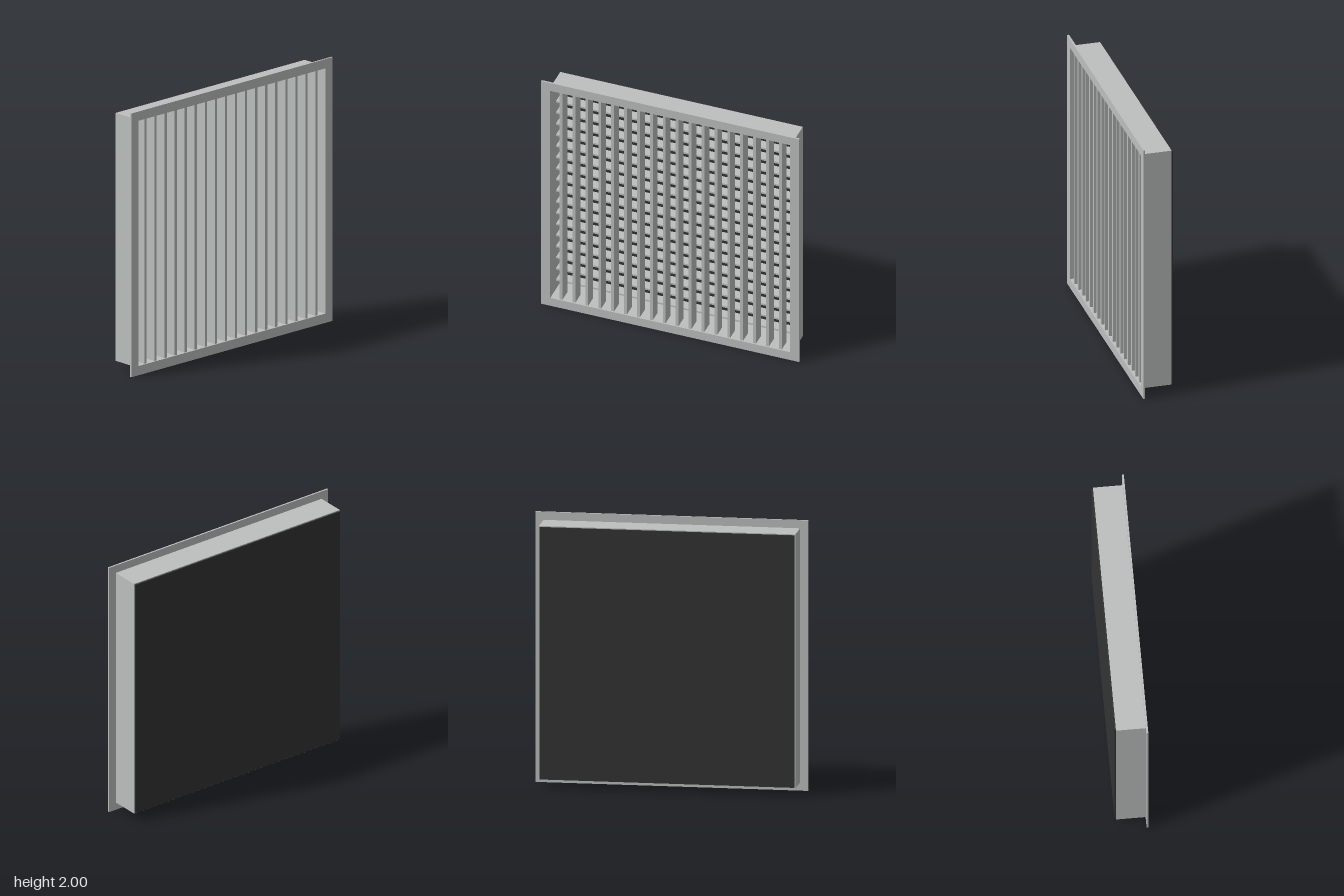
import * as THREE from 'three';

export function createModel() {
  const model = new THREE.Group();
  model.name = 'ventGrille';

  const metal = new THREE.MeshStandardMaterial({ color: 0xbcc0be });
  metal.name = 'light grey metal';
  const dark = new THREE.MeshStandardMaterial({ color: 0x333333 });
  dark.name = 'dark backing';

  const add = (name, geometry, material, x, y, z, parent = model) => {
    const mesh = new THREE.Mesh(geometry, material);
    mesh.name = name;
    mesh.position.set(x, y, z);
    parent.add(mesh);
    return mesh;
  };

  // Square ring, extruded along z
  const ring = (outer, inner, depth) => {
    const square = (Type, h) => new Type([
      new THREE.Vector2(-h, -h), new THREE.Vector2(h, -h),
      new THREE.Vector2(h, h), new THREE.Vector2(-h, h),
    ]);
    const shape = square(THREE.Shape, outer);
    shape.holes.push(square(THREE.Path, inner));
    return new THREE.ExtrudeGeometry(shape, { depth, bevelEnabled: false });
  };

  // Front flange and the duct collar behind it
  add('frontFlange', ring(1, 0.93, 0.013), metal, 0, 1, 0.107);
  add('ductCollar', ring(0.94, 0.93, 0.217), metal, 0, 1, -0.11);

  // Dark plate closing the back
  add('backPlate', new THREE.BoxGeometry(1.866, 1.866, 0.01), dark, 0, 1, -0.115);

  // Upright blades in front, level blades behind them
  const uprights = new THREE.Group();
  uprights.name = 'verticalBlades';
  const levels = new THREE.Group();
  levels.name = 'horizontalBlades';
  model.add(uprights, levels);
  const uprightGeometry = new THREE.BoxGeometry(0.022, 1.86, 0.1);
  const levelGeometry = new THREE.BoxGeometry(1.86, 0.014, 0.08);
  for (let i = 0; i < 18; i++) {
    const offset = -0.85 + i * 0.1;
    add('verticalBlade', uprightGeometry, metal, offset, 1, 0.06, uprights);
    add('horizontalBlade', levelGeometry, metal, 0, 1 + offset, -0.04, levels);
  }

  return model;
}
